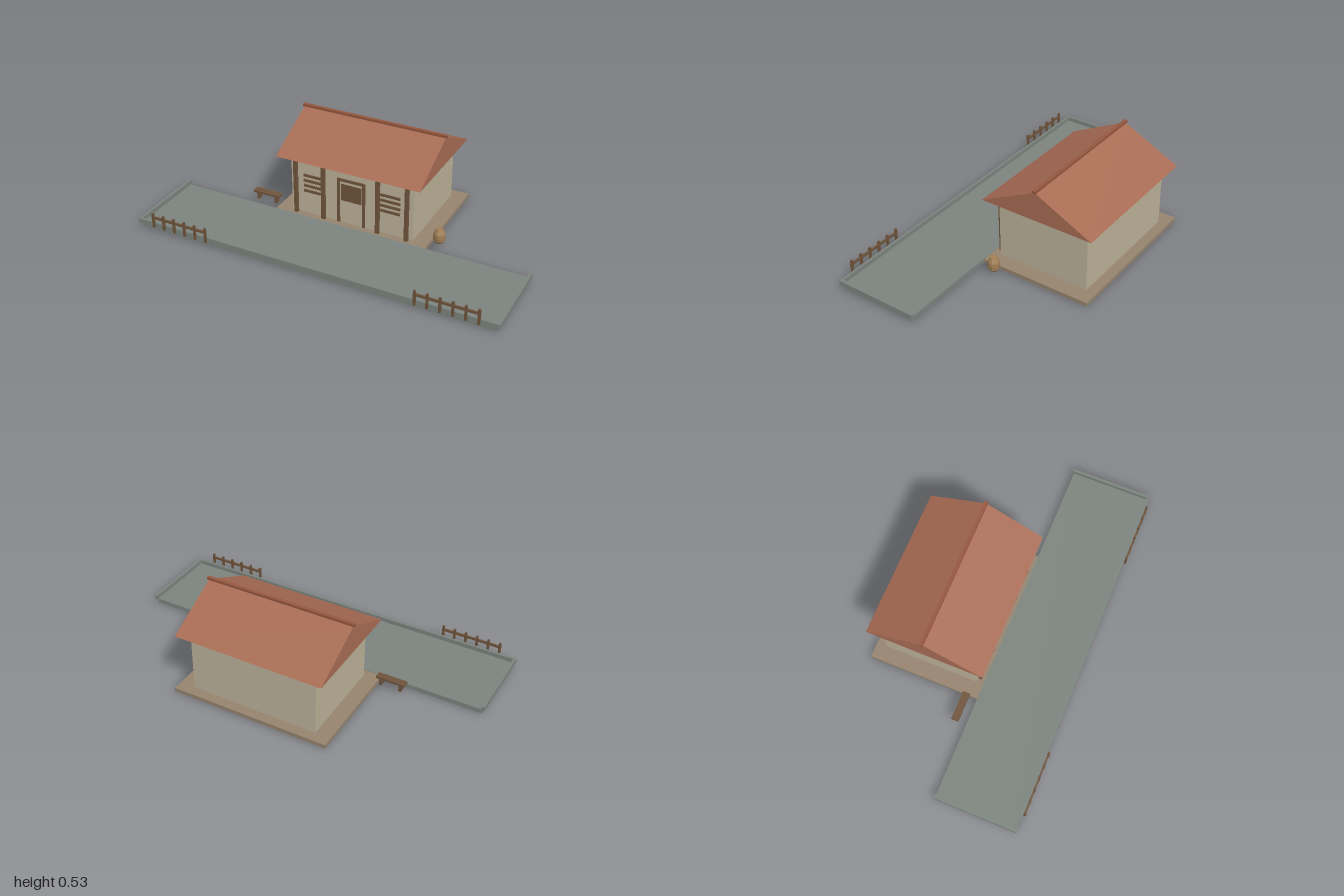
import * as THREE from 'three';

const mat = (name, hex) => {
  const m = new THREE.MeshStandardMaterial({ color: hex });
  m.name = name;
  return m;
};

export function createModel() {
  const paving = mat('grey paving', 0x7c847e);
  const stone = mat('foundation stone', 0x95846f);
  const plaster = mat('plaster', 0xbcb199);
  const wood = mat('dark wood', 0x6f543c);
  const tiles = mat('roof clay', 0xa86c54);
  const ridgeClay = mat('ridge clay', 0x96573f);
  const cask = mat('barrel wood', 0xa07e55);
  cask.flatShading = true;

  const root = new THREE.Group();
  root.name = 'roadsideHouse';
  const group = (name) => {
    const g = new THREE.Group();
    g.name = name;
    root.add(g);
    return g;
  };
  // Box given by its minimum and maximum on each axis
  const box = (name, m, x0, x1, y0, y1, z0, z1, parent = root) => {
    const mesh = new THREE.Mesh(new THREE.BoxGeometry(x1 - x0, y1 - y0, z1 - z0), m);
    mesh.position.set((x0 + x1) / 2, (y0 + y1) / 2, (z0 + z1) / 2);
    mesh.name = name;
    parent.add(mesh);
    return mesh;
  };

  // Paved forecourt with a kerb along the front and both ends
  const court = group('forecourt');
  box('pavingSlab', paving, -0.985, 0.985, 0, 0.025, 0.076, 0.512, court);
  box('frontKerb', paving, -0.985, 0.985, 0.023, 0.049, 0.511, 0.524, court);
  for (const s of [-1, 1]) {
    const x = s * 0.9925;
    box('endKerb', paving, x - 0.0075, x + 0.0075, 0.023, 0.049, 0.068, 0.524, court);
  }

  // House body
  const house = group('house');
  box('foundation', stone, -0.435, 0.435, 0, 0.022, -0.535, 0.076, house);
  box('walls', plaster, -0.352, 0.352, 0.022, 0.351, -0.48, 0.034, house);

  // Gabled roof: triangle in the z-y plane, extruded along x
  const gable = new THREE.Shape();
  gable.moveTo(-0.097, 0.356);
  gable.lineTo(0.534, 0.356);
  gable.lineTo(0.218, 0.513);
  gable.closePath();
  const roofGeo = new THREE.ExtrudeGeometry(gable, { depth: 0.816, bevelEnabled: false });
  roofGeo.translate(0, 0, -0.408);
  roofGeo.rotateY(Math.PI / 2);
  const roof = new THREE.Mesh(roofGeo, tiles);
  roof.name = 'roof';
  house.add(roof);
  box('ridgeCap', ridgeClay, -0.415, 0.415, 0.512, 0.526, -0.227, -0.209, house);

  // Porch posts and beam
  const porch = group('porch');
  for (const x of [-0.32, -0.157, 0.157, 0.32])
    box('porchPost', wood, x - 0.01, x + 0.01, 0.022, 0.333, 0.041, 0.058, porch);
  box('porchBeam', wood, -0.368, 0.368, 0.333, 0.35, 0.038, 0.061, porch);

  // Door frame with hanging panel
  const door = group('door');
  for (const s of [-1, 1])
    box('doorJamb', wood, s * 0.073 - 0.007, s * 0.073 + 0.007, 0.022, 0.27, 0.033, 0.042, door);
  box('doorLintel', wood, -0.08, 0.08, 0.27, 0.284, 0.033, 0.042, door);
  box('doorPanel', wood, -0.059, 0.059, 0.155, 0.252, 0.033, 0.038, door);

  // Slatted windows
  const windows = group('windows');
  for (const s of [-1, 1])
    for (let i = 0; i < 4; i++) {
      const y = 0.157 + i * 0.0305;
      box('windowSlat', wood, s * 0.222 - 0.056, s * 0.222 + 0.056, y - 0.007, y + 0.007, 0.033, 0.04, windows);
    }

  // Low fences at the front corners
  for (const s of [-1, 1]) {
    const fence = group(s > 0 ? 'leftFence' : 'rightFence');
    for (let i = 0; i < 6; i++) {
      const x = s * (0.58 + i * 0.064);
      box('fencePost', wood, x - 0.006, x + 0.006, 0.025, 0.108, 0.524, 0.535, fence);
    }
    box('fenceRail', wood, s * 0.74 - 0.168, s * 0.74 + 0.168, 0.078, 0.091, 0.525, 0.534, fence);
  }

  // Bench beside the house
  const bench = group('bench');
  box('benchSeat', wood, -0.595, -0.437, 0.062, 0.073, -0.002, 0.038, bench);
  for (const x of [-0.57, -0.462])
    box('benchLeg', wood, x - 0.007, x + 0.007, 0.023, 0.062, 0.003, 0.033, bench);

  // Barrel
  const profile = [[0, 0.023], [0.021, 0.023], [0.03, 0.036], [0.032, 0.055], [0.031, 0.075], [0.018, 0.1], [0, 0.1]]
    .map(([r, y]) => new THREE.Vector2(r, y));
  const barrel = new THREE.Mesh(new THREE.LatheGeometry(profile, 10), cask);
  barrel.position.set(0.476, 0, -0.017);
  barrel.name = 'barrel';
  root.add(barrel);

  return root;
}
